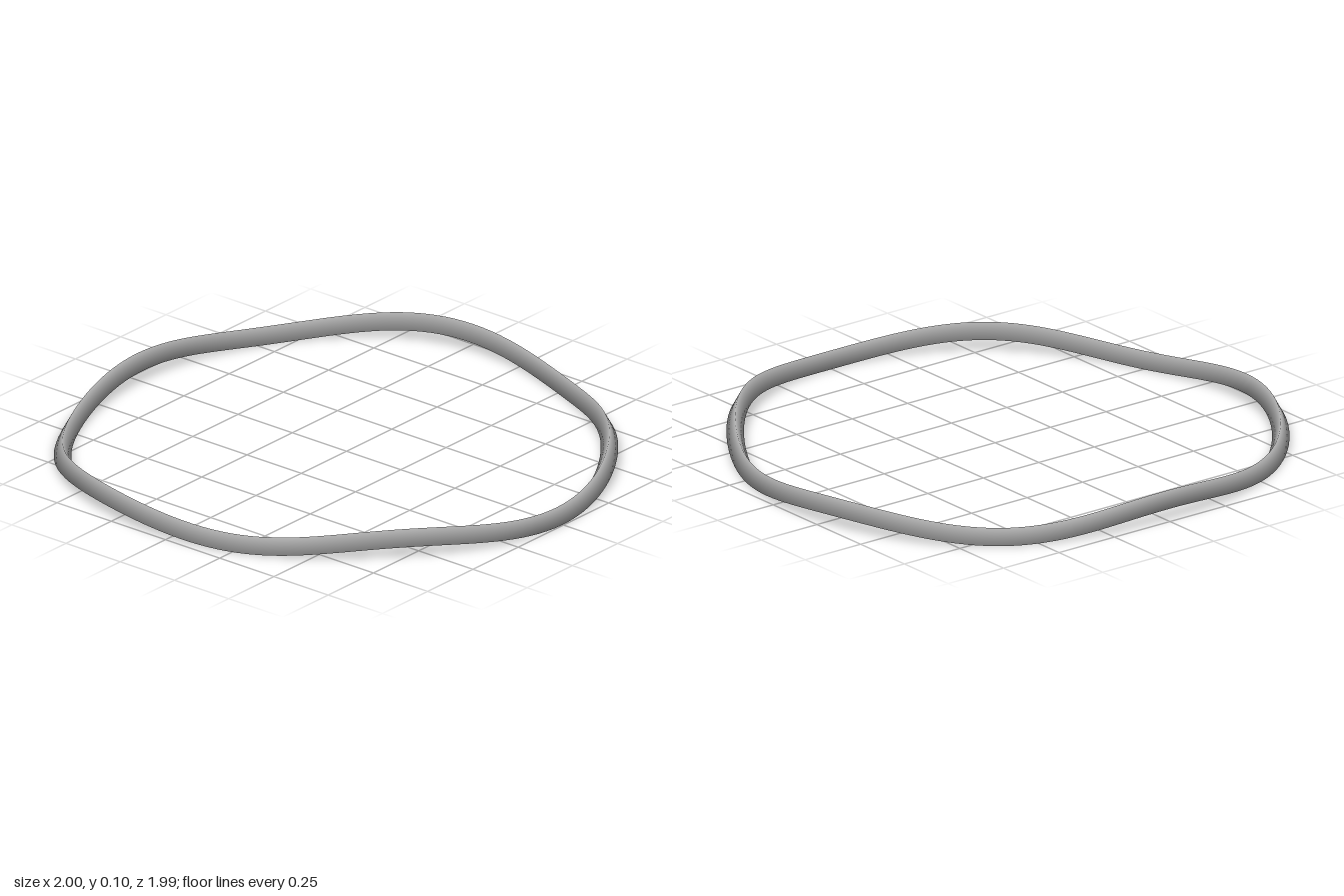
import * as THREE from 'three';

// Wavy, slightly three-lobed ring with a soft-shaded triangular section.
export function createModel() {
  const group = new THREE.Group();
  const grey = new THREE.MeshStandardMaterial({ color: 0xb4b4b4 });
  grey.name = 'grey';

  const steps = 160;
  const radius = 0.965, lobe = 0.03, wave = 0.0235;
  // Section corners as [outward, up]: ridge, outer foot, inner foot
  const section = [[0, 0.057], [0.031, 0], [-0.031, 0]];
  const n = section.length;
  const positions = [], indices = [];

  for (let i = 0; i < steps; i++) {
    const a = (i / steps) * Math.PI * 2; // measured from the front
    const r = radius + lobe * Math.cos(3 * a);
    const lift = wave * (1 - Math.cos(5 * a));
    // Outward normal of the path in plan
    const dr = -3 * lobe * Math.sin(3 * a);
    const out = a - Math.atan2(dr, r);
    for (const [u, v] of section) {
      positions.push(
        r * Math.sin(a) + u * Math.sin(out),
        lift + v,
        r * Math.cos(a) - lobe + u * Math.cos(out)
      );
    }
    const next = (i + 1) % steps;
    for (let j = 0; j < n; j++) {
      const k = (j + 1) % n;
      const p = i * n + j, q = i * n + k, s = next * n + j, t = next * n + k;
      indices.push(p, q, s, q, t, s);
    }
  }

  const geometry = new THREE.BufferGeometry();
  geometry.setAttribute('position', new THREE.Float32BufferAttribute(positions, 3));
  geometry.setIndex(indices);
  geometry.computeVertexNormals();

  const ring = new THREE.Mesh(geometry, grey);
  ring.name = 'wavyRing';
  group.add(ring);
  return group;
}
